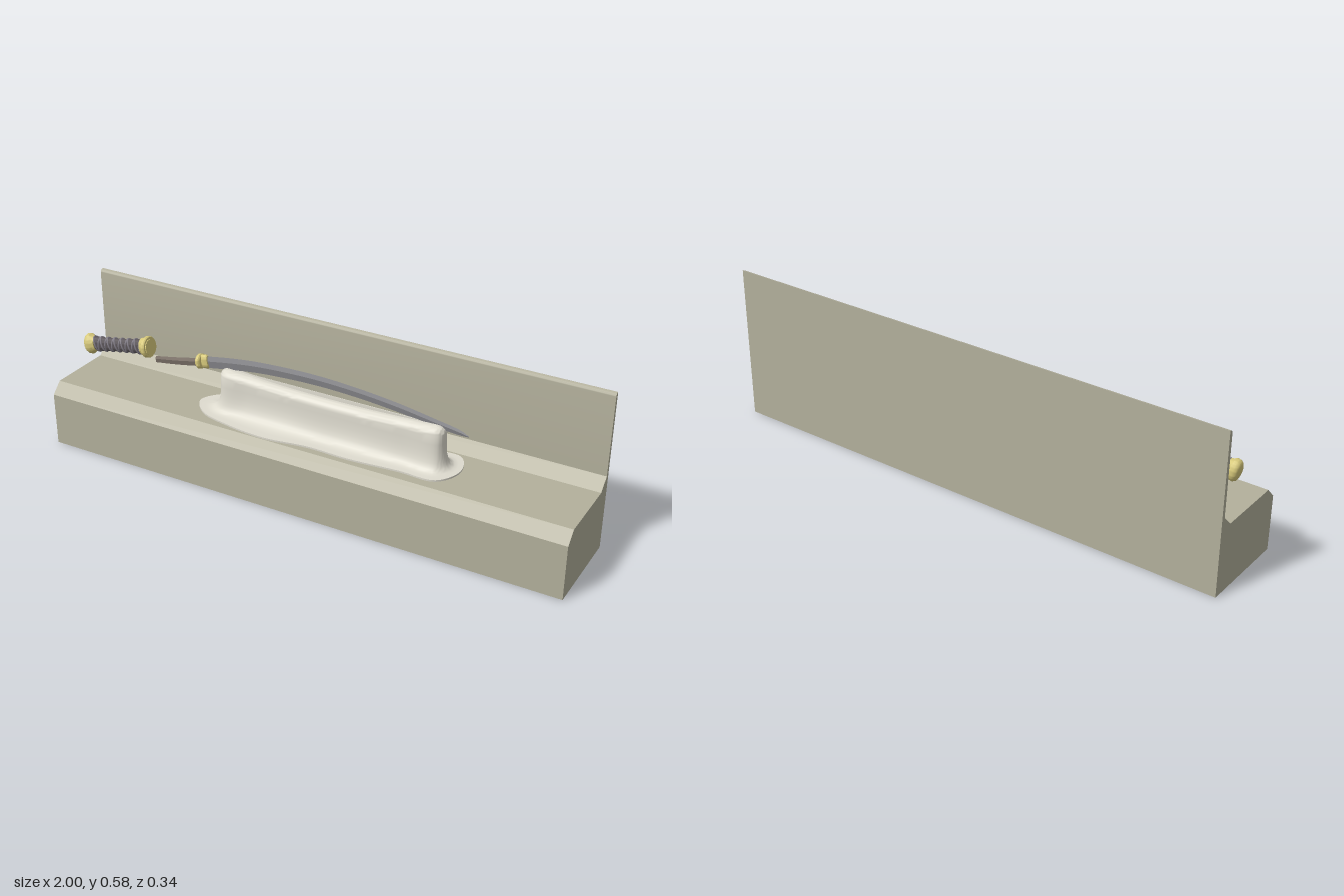
import * as THREE from 'three';
import { mergeVertices, toCreasedNormals } from 'three/addons/utils/BufferGeometryUtils.js';

const mat = (color, side = THREE.FrontSide) => new THREE.MeshStandardMaterial({ color, side });
const STONE = mat(0xb3b09c), CLOTH = mat(0xdedbcf, THREE.DoubleSide), STEEL = mat(0x8c8c90);
const GOLD = mat(0xd8ca7c), TANG = mat(0x80756c), GRIP = mat(0x5c565a), CORD = mat(0x85808a);

function add(parent, name, geometry, material) {
  const mesh = new THREE.Mesh(geometry, material);
  mesh.name = name;
  parent.add(mesh);
  return mesh;
}

// Skin over closed rings of equal point count, with end caps
function loft(rings) {
  const n = rings[0].length, idx = [], last = (rings.length - 1) * n;
  for (let i = 0; i < rings.length - 1; i++) for (let j = 0; j < n; j++) {
    const k = (j + 1) % n, a = i * n + j, b = i * n + k;
    idx.push(a, b, b + n, a, b + n, a + n);
  }
  for (let j = 1; j < n - 1; j++) idx.push(0, j + 1, j, last, last + j, last + j + 1);
  const g = new THREE.BufferGeometry();
  g.setAttribute('position', new THREE.Float32BufferAttribute(rings.flat(2), 3));
  g.setIndex(idx);
  return g;
}

// Turned part about the x axis; profile as [radius, x]
function turned(profile, zScale = 1) {
  const g = new THREE.LatheGeometry(profile.map(p => new THREE.Vector2(...p)), 40);
  g.rotateZ(-Math.PI / 2).scale(1, 1, zScale);
  return toCreasedNormals(g, 0.6);
}

// Stepped base with a thin back wall
function baseGeometry() {
  const s = new THREE.Shape();
  s.moveTo(-0.17, 0);
  s.lineTo(0.17, 0);
  s.lineTo(0.17, 0.58);
  s.quadraticCurveTo(0.156, 0.58, 0.156, 0.565);
  s.lineTo(0.156, 0.28);
  s.lineTo(0.115, 0.24);
  s.lineTo(-0.13, 0.24);
  s.lineTo(-0.17, 0.2);
  const g = new THREE.ExtrudeGeometry(s, { depth: 2, bevelEnabled: false, curveSegments: 8 });
  return toCreasedNormals(g.rotateY(Math.PI / 2).translate(-1, 0, 0), 0.5);
}

// Draped cloth: narrow rounded ridge flaring out to an uneven hem
function clothGeometry() {
  // [ridge x, ridge z, hem x, hem z]
  const pairs = [
    [-0.365, 0, -0.46, 0], [-0.345, 0.031, -0.40, 0.075], [-0.24, 0.032, -0.28, 0.11],
    [-0.1, 0.032, -0.12, 0.127], [0.05, 0.032, 0.04, 0.105], [0.2, 0.032, 0.2, 0.108],
    [0.36, 0.032, 0.38, 0.093], [0.485, 0.031, 0.51, 0.088],
    [0.502, 0, 0.558, 0], [0.485, -0.031, 0.52, -0.092], [0.36, -0.032, 0.4, -0.088],
    [0.2, -0.032, 0.22, -0.092], [0.05, -0.032, 0.06, -0.1], [-0.1, -0.032, -0.1, -0.117],
    [-0.24, -0.032, -0.29, -0.11], [-0.345, -0.031, -0.41, -0.075]];
  const curve = o => new THREE.CatmullRomCurve3(
    pairs.map(p => new THREE.Vector3(p[o], 0, p[o + 1])), true, 'centripetal');
  const N = 128, ridge = curve(0), hem = curve(2);
  const top = x => 0.386 + 0.017 * ((x - 0.07) / 0.43) ** 2;
  const ring = fn => Array.from({ length: N }, (_, j) => fn(ridge.getPoint(j / N), hem.getPoint(j / N)));
  const rings = [];
  // skirt: [spread, height]
  for (const [t, y] of [[1, 0.237], [1, 0.246], [0.7, 0.246], [0.5, 0.2475], [0.38, 0.251],
    [0.28, 0.256], [0.19, 0.264], [0.12, 0.275], [0.06, 0.291], [0.02, 0.312], [0, 0.34]])
    rings.push(ring((a, b) => [a.x + (b.x - a.x) * t, y, a.z + (b.z - a.z) * t]));
  // rounded crown
  for (let k = 0; k <= 8; k++) {
    const u = k / 8 * Math.PI / 2, s = Math.max(Math.cos(u), 0.02);
    rings.push(ring(a => {
      const x = 0.07 + (a.x - 0.07) * (1 - 0.07 * (1 - s));
      return [x, top(x) - 0.028 * (1 - Math.sin(u)), a.z * s];
    }));
  }
  return toCreasedNormals(loft(rings), 0.9);
}

// Diamond-section bar; stations as [x, top y, bottom y, half thickness]
function bar(stations, steps) {
  const line = i => new THREE.CatmullRomCurve3(
    stations.map(s => new THREE.Vector3(s[0], s[i], s[3])), false, 'centripetal');
  const up = line(1), low = line(2);
  const rings = Array.from({ length: steps + 1 }, (_, i) => {
    const a = up.getPoint(i / steps), b = low.getPoint(i / steps);
    const m = a.y * 0.6 + b.y * 0.4, x = (a.x + b.x) / 2;
    return [[a.x, a.y, 0], [x, m, a.z], [b.x, b.y, 0], [x, m, -a.z]];
  });
  return toCreasedNormals(loft(rings), 0.3);
}

function makeBlade() {
  const g = new THREE.Group();
  g.name = 'blade';
  add(g, 'bladeSteel', bar([[-0.44, 0.423, 0.378, 0.0045], [-0.32, 0.443, 0.398, 0.0045],
    [-0.2, 0.456, 0.414, 0.0045], [0, 0.463, 0.424, 0.0045], [0.16, 0.456, 0.42, 0.004],
    [0.325, 0.439, 0.406, 0.004], [0.46, 0.417, 0.388, 0.0035], [0.55, 0.4, 0.381, 0.003],
    [0.582, 0.386, 0.382, 0.0008]], 60), STEEL);
  add(g, 'tang', bar([[-0.65, 0.372, 0.347, 0.003], [-0.55, 0.391, 0.362, 0.004],
    [-0.44, 0.415, 0.383, 0.004]], 12), TANG);
  // collar where blade meets tang
  const collar = new THREE.Group();
  collar.name = 'collar';
  collar.position.set(-0.445, 0.402, 0);
  collar.rotation.z = 0.17;
  add(collar, 'collarDisc', turned([[0, -0.018], [0.023, -0.018], [0.027, -0.014], [0.027, -0.004],
    [0.022, 0], [0, 0]]), GOLD);
  add(collar, 'collarSleeve', turned([[0.024, -0.002], [0.026, 0.006], [0.026, 0.02], [0.022, 0.024],
    [0, 0.024]], 0.45), GOLD);
  g.add(collar);
  return g;
}

// Detached handle with crossed cord wrap, pommel and guard
function makeHandle() {
  const g = new THREE.Group();
  g.name = 'handle';
  g.position.set(-0.812, 0.377, 0);
  g.rotation.z = 0.18;
  const radius = x => 0.025 + 0.004 * (x / 0.12) ** 2, Z = 0.62;
  const profile = Array.from({ length: 13 }, (_, i) => {
    const x = -0.125 + i * 0.25 / 12;
    return [radius(x), x];
  });
  add(g, 'grip', turned(profile, Z), GRIP);
  for (const dir of [1, -1]) {
    const pts = Array.from({ length: 121 }, (_, i) => {
      const x = -0.11 + i * 0.22 / 120, a = dir * i / 120 * Math.PI * 2 * 7, r = radius(x) + 0.0005;
      return new THREE.Vector3(x, r * Math.cos(a), r * Z * Math.sin(a));
    });
    add(g, 'cordWrap', new THREE.TubeGeometry(new THREE.CatmullRomCurve3(pts), 240, 0.0035, 6), CORD);
  }
  add(g, 'pommel', turned([[0, -0.15], [0.026, -0.15], [0.034, -0.146], [0.039, -0.138], [0.039, -0.127],
    [0.033, -0.119], [0.029, -0.108], [0, -0.108]], 0.75), GOLD);
  add(g, 'guardSleeve', turned([[0, 0.106], [0.031, 0.106], [0.033, 0.11], [0.033, 0.128]], 0.75), GOLD);
  add(g, 'guard', turned([[0, 0.124], [0.035, 0.124], [0.039, 0.128], [0.039, 0.137], [0.036, 0.141],
    [0.029, 0.141], [0.029, 0.144], [0, 0.144]]), GOLD);
  return g;
}

export function createModel() {
  const model = new THREE.Group();
  model.name = 'swordDisplay';
  add(model, 'base', baseGeometry(), STONE);
  add(model, 'drapedCloth', clothGeometry(), CLOTH);
  model.add(makeBlade(), makeHandle());
  return model;
}
